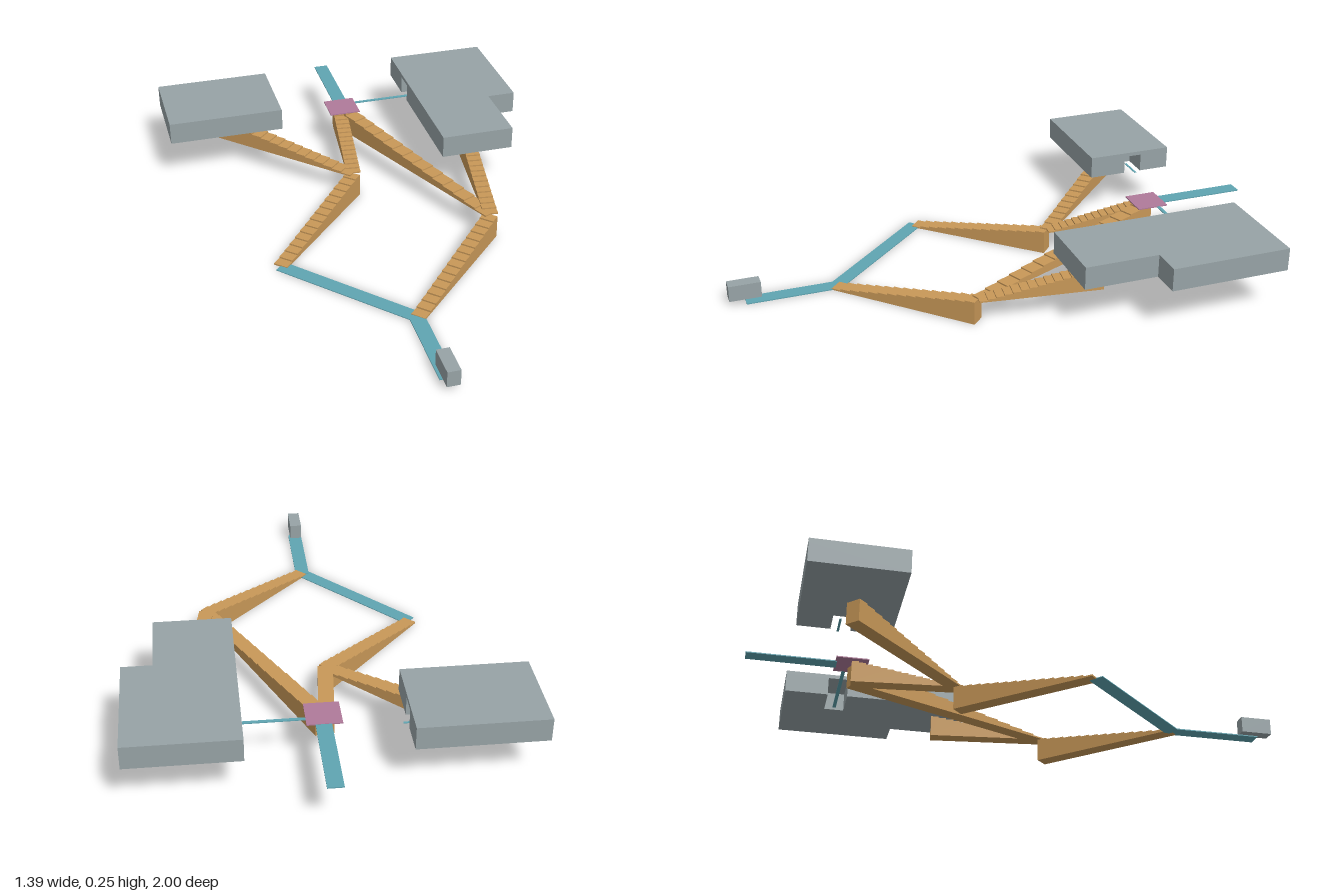
import * as THREE from 'three';

const timber = new THREE.MeshStandardMaterial({ color: 0xc89858 });
const teal = new THREE.MeshStandardMaterial({ color: 0x5fa5b2 });
const grey = new THREE.MeshStandardMaterial({ color: 0x97a3a6 });
const plum = new THREE.MeshStandardMaterial({ color: 0xb07a9a });
timber.name = 'timber';
teal.name = 'tealPath';
grey.name = 'greyBlock';
plum.name = 'plumLanding';

const WIDTH = 0.055, MID = 0.088, TOP = 0.17, STEPS = 15;

// Landing points of the stairs, as [x, z]
const front = [-0.025, 0.61], west = [-0.415, 0.19], east = [0.385, 0.198];
const middle = [-0.03, -0.225], hub = [0.02, -0.615];

export function createModel() {
  const model = new THREE.Group();

  function add(geometry, material, name) {
    const mesh = new THREE.Mesh(geometry, material);
    mesh.name = name;
    model.add(mesh);
    return mesh;
  }

  // Box given by its limits on each axis
  function block(name, material, x0, x1, y0, y1, z0, z1) {
    const mesh = add(new THREE.BoxGeometry(x1 - x0, y1 - y0, z1 - z0), material, name);
    mesh.position.set((x0 + x1) / 2, (y0 + y1) / 2, (z0 + z1) / 2);
    return mesh;
  }

  // Solid flight of steps with a flat base, rising from a to b
  function stair(name, a, b, y0, y1) {
    const dx = b[0] - a[0], dz = b[1] - a[1], length = Math.hypot(dx, dz);
    const profile = new THREE.Shape();
    profile.moveTo(0, 0);
    for (let i = 0; i < STEPS; i++) {
      const y = (y1 - y0) * (i + 1) / STEPS;
      profile.lineTo(length * i / STEPS, y);
      profile.lineTo(length * (i + 1) / STEPS, y);
    }
    profile.lineTo(length, 0);
    const geometry = new THREE.ExtrudeGeometry(profile, { depth: WIDTH, bevelEnabled: false });
    geometry.translate(0, 0, -WIDTH / 2);
    const mesh = add(geometry, timber, name);
    mesh.position.set(a[0], y0, a[1]);
    mesh.rotation.y = Math.atan2(-dz, dx);
  }

  // Upright prism over a plan outline of [x, z] points
  function prism(name, outline, y0, y1) {
    const shape = new THREE.Shape(outline.map(([x, z]) => new THREE.Vector2(x, -z)));
    const geometry = new THREE.ExtrudeGeometry(shape, { depth: y1 - y0, bevelEnabled: false });
    geometry.rotateX(-Math.PI / 2);
    add(geometry, grey, name).position.y = y0;
  }

  // Lower and upper flights
  stair('lowerStairEast', front, east, 0, MID);
  stair('lowerStairWest', west, middle, 0, MID);
  stair('upperStairWest', middle, [-0.47, -0.665], MID, TOP);
  stair('upperStairCentre', middle, [0.012, -0.615], MID, TOP);
  stair('upperStairHub', east, [0.025, -0.615], MID, TOP);
  stair('upperStairEast', east, [0.442, -0.246], MID, TOP);

  // Ground paths
  block('frontPath', teal, -0.057, -0.002, 0, 0.004, 0.6, 0.94);
  const dx = west[0] - front[0], dz = west[1] - front[1];
  const link = add(new THREE.BoxGeometry(Math.hypot(dx, dz), 0.003, WIDTH), teal, 'diagonalPath');
  link.position.set((west[0] + front[0]) / 2, 0.0015, (west[1] + front[1]) / 2);
  link.rotation.y = Math.atan2(-dz, dx);
  block('frontBlock', grey, -0.053, -0.006, 0.02, 0.08, 0.883, 1);

  // Upper landing and paths
  block('landing', plum, hub[0] - 0.057, hub[0] + 0.065, TOP, TOP + 0.004, -0.676, -0.556);
  block('rearPath', teal, 0, 0.055, TOP - 0.001, TOP + 0.003, -1, -0.67);
  block('eastFootpath', teal, 0.08, 0.42, TOP, TOP + 0.003, -0.645, -0.632);
  block('westFootpath', teal, -0.33, -0.235, TOP, TOP + 0.002, -0.697, -0.689);

  // West house: doorway recess below a full roof slab
  const roofLine = 0.24, roofTop = 0.255;
  prism('westHouseWalls', [
    [-0.697, -0.505], [-0.25, -0.505], [-0.25, -0.65], [-0.35, -0.65],
    [-0.35, -0.72], [-0.25, -0.72], [-0.25, -0.838], [-0.697, -0.838],
  ], TOP, roofLine);
  prism('westHouseRoof', [
    [-0.697, -0.505], [-0.25, -0.505], [-0.25, -0.838], [-0.697, -0.838],
  ], roofLine, roofTop);

  // East house: L-shaped plan with a doorway facing the landing
  const ell = [
    [0.3, -0.838], [0.3, -0.118], [0.582, -0.118],
    [0.582, -0.392], [0.692, -0.392], [0.692, -0.838],
  ];
  const doorway = [[0.3, -0.675], [0.44, -0.675], [0.44, -0.6], [0.3, -0.6]];
  prism('eastHouseWalls', [ell[0], ...doorway, ...ell.slice(1)], TOP, roofLine);
  prism('eastHouseRoof', ell, roofLine, roofTop);

  return model;
}
